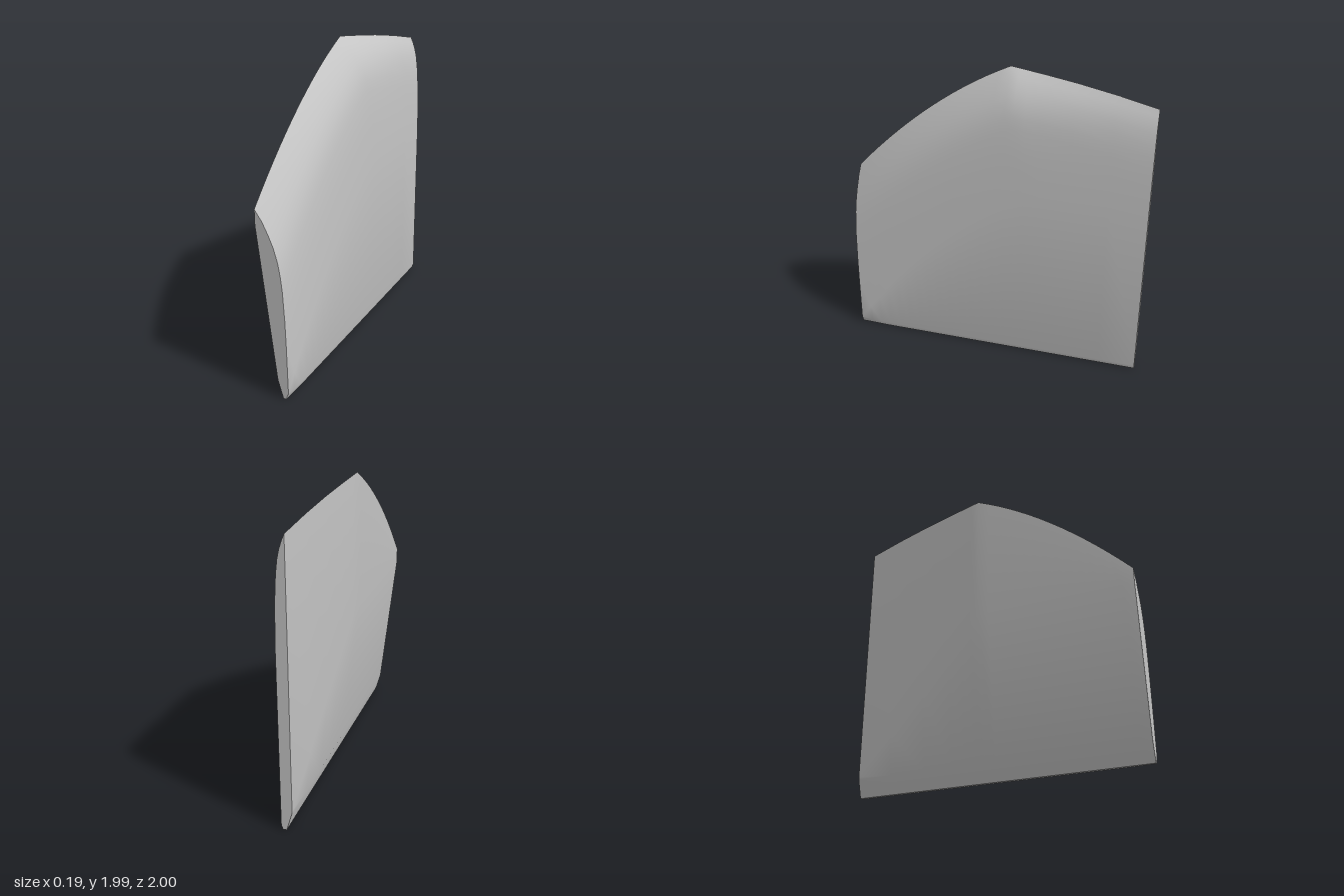
import * as THREE from 'three';
import { toCreasedNormals } from 'three/addons/utils/BufferGeometryUtils.js';

const INNER = -0.095, OUTER = 0.09, PEAK_Z = -0.07, PEAK_Y = 1.985;

// Rounded shoulder: [x, drop below the top edge]
const SHOULDER = [
  [INNER, 0], [-0.05, 0.045], [-0.01, 0.1], [0.02, 0.15], [0.045, 0.21],
  [0.06, 0.27], [0.07, 0.335], [0.08, 0.46], [0.085, 0.58], [OUTER, 0.8],
];

function dropAt(x) {
  for (let i = 1; i < SHOULDER.length; i++) {
    const [x0, d0] = SHOULDER[i - 1], [x1, d1] = SHOULDER[i];
    if (x <= x1) return d0 + (d1 - d0) * (x - x0) / (x1 - x0);
  }
  return SHOULDER[SHOULDER.length - 1][1];
}

// Height of the outer skin: level behind the peak, falling in an arc ahead of it
function skinHeight(x, z) {
  const d = dropAt(x), t = z - PEAK_Z, b = t > 0 ? 0.278 : 0;
  const slope = 0.441 + 2 * b * t;
  const arc = PEAK_Y - 0.441 * t - b * t * t - d * Math.hypot(1, slope);
  return Math.max(0.04, Math.min(PEAK_Y - d, arc));
}

// Cross-section at z: shoulder, bottom lip, then the sloped inner side
function section(z) {
  const start = z < PEAK_Z ? INNER + (0.018 - INNER) * (PEAK_Z - z) / (1 + PEAK_Z) : INNER;
  const ring = SHOULDER.map(([px]) => {
    const x = start + (px - INNER) / (OUTER - INNER) * (OUTER - start);
    return [x, skinHeight(x, z), z];
  });
  const shift = z > 0.8 ? (z - 0.8) * -0.03 : 0;
  ring.push([OUTER + shift, 0.03, z], [0.08 + shift, 0, z], [0.055, 0, z], [0.02, 0.12, z]);
  ring.push([start, 0.12 + (0.02 - start) * 8.5, z]);
  return ring;
}

function panelGeometry() {
  const stations = [-1, -0.75, -0.5, -0.3, -0.2, -0.13, PEAK_Z];
  for (let i = 1; i <= 14; i++) stations.push(PEAK_Z + (1 - PEAK_Z) * i / 14);
  const rings = stations.map(section);
  const n = rings[0].length, last = rings.length - 1;
  const index = [];
  for (let s = 0; s < last; s++) {
    for (let i = 0; i < n; i++) {
      const a = s * n + i, b = s * n + (i + 1) % n;
      index.push(a, a + n, b, b, a + n, b + n);
    }
  }
  // Flat end caps
  for (let i = 1; i < n - 1; i++) {
    index.push(0, i, i + 1);
    index.push(last * n, last * n + i + 1, last * n + i);
  }
  const geometry = new THREE.BufferGeometry();
  geometry.setAttribute('position', new THREE.Float32BufferAttribute(rings.flat(2), 3));
  geometry.setIndex(index);
  return toCreasedNormals(geometry, 0.45);
}

export function createModel() {
  const group = new THREE.Group();
  group.name = 'curvedPanel';
  const grey = new THREE.MeshStandardMaterial({ color: 0xc6c6c6 });
  grey.name = 'light grey';
  const panel = new THREE.Mesh(panelGeometry(), grey);
  panel.name = 'panel';
  group.add(panel);
  return group;
}
